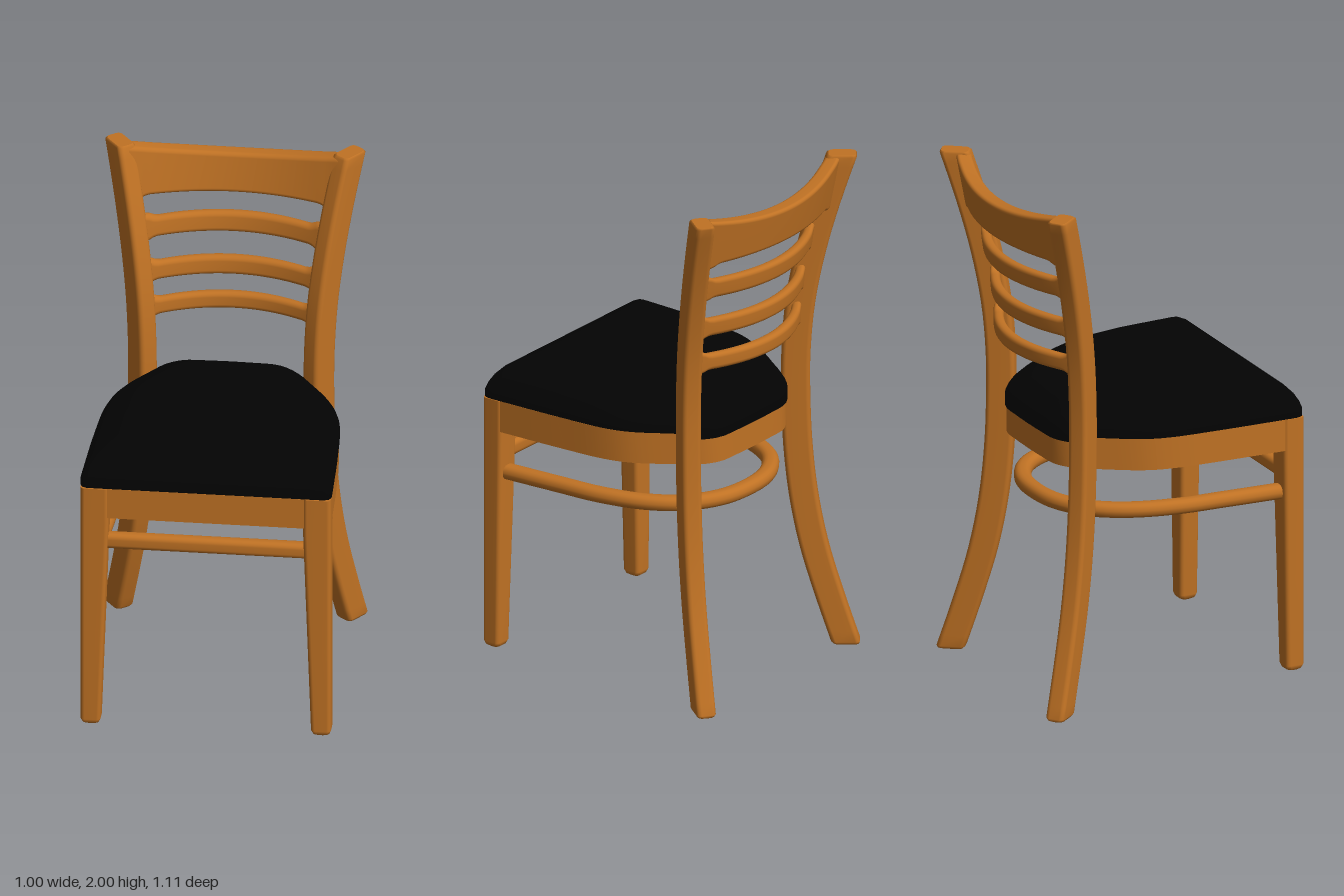
import * as THREE from 'three';
import { toCreasedNormals } from 'three/addons/utils/BufferGeometryUtils.js';

const V = (x, y, z) => new THREE.Vector3(x, y, z);
const { smoothstep } = THREE.MathUtils;

// Skin a list of equal-length rings and close both ends with flat caps
function loft(rings) {
  const n = rings[0].length, pos = [], idx = [];
  const put = (p) => pos.push(p.x, p.y, p.z) / 3 - 1;
  rings.forEach((r) => r.forEach(put));
  for (let i = 0; i < rings.length - 1; i++) {
    for (let j = 0; j < n; j++) {
      const a = i * n + j, b = i * n + (j + 1) % n;
      idx.push(a, b, b + n, a, b + n, a + n);
    }
  }
  [rings[0], rings[rings.length - 1]].forEach((r, end) => {
    const mid = r.reduce((s, p) => s.add(p), V(0, 0, 0)).divideScalar(n);
    const c = put(mid), first = c + 1;
    r.forEach(put);
    for (let j = 0; j < n; j++) {
      const a = first + j, b = first + (j + 1) % n;
      if (end) idx.push(c, a, b); else idx.push(c, b, a);
    }
  });
  const g = new THREE.BufferGeometry();
  g.setAttribute('position', new THREE.Float32BufferAttribute(pos, 3));
  g.setIndex(idx);
  g.computeVertexNormals();
  return g;
}

// Rounded rectangle ring around c; u cross v points along the loft
function roundRect(c, u, v, hu, hv, r) {
  const ring = [];
  [[1, 1], [-1, 1], [-1, -1], [1, -1]].forEach(([su, sv], q) => {
    for (let k = 0; k <= 4; k++) {
      const a = (q + k / 4) * Math.PI / 2;
      ring.push(c.clone()
        .addScaledVector(u, su * (hu - r) + r * Math.cos(a))
        .addScaledVector(v, sv * (hv - r) + r * Math.sin(a)));
    }
  });
  return ring;
}

// Seat plan: [x, z] points from front centre round the back to the start
function seatOutline() {
  const half = [];
  for (let i = 0; i < 8; i++) half.push([0.45 * i / 8, 0.55]);
  half.push([0.45, 0.55], [0.468, 0.542], [0.475, 0.525]);
  const side = new THREE.CatmullRomCurve3([
    V(0.475, 0, 0.5), V(0.463, 0, 0.2), V(0.447, 0, 0), V(0.418, 0, -0.1), V(0.325, 0, -0.25),
    V(0.27, 0, -0.325), V(0.2, 0, -0.368), V(0.1, 0, -0.376), V(0, 0, -0.378)]);
  side.getSpacedPoints(32).forEach((p) => half.push([p.x, p.z]));
  const mirrored = half.slice(1, -1).reverse().map(([x, z]) => [-x, z]);
  return half.concat(mirrored);
}

const CZ = 0.1;
const scaled = (pts, k) => pts.map(([x, z]) => [x * k, CZ + (z - CZ) * k]);

// Upright slab of a plan outline, optionally hollow
function slab(outer, hole, y, height) {
  const toV2 = (pts) => pts.map(([x, z]) => new THREE.Vector2(x, -z));
  const shape = new THREE.Shape(toV2(outer));
  if (hole) shape.holes.push(new THREE.Path(toV2(hole)));
  const g = new THREE.ExtrudeGeometry(shape, { depth: height, bevelEnabled: false });
  g.rotateX(-Math.PI / 2).translate(0, y, 0);
  return toCreasedNormals(g, 0.6);
}

export function createModel() {
  const chair = new THREE.Group();
  chair.name = 'chair';
  const wood = new THREE.MeshStandardMaterial({ color: 0xc07224 });
  wood.name = 'warm wood';
  const black = new THREE.MeshStandardMaterial({ color: 0x030303 });
  black.name = 'black upholstery';
  const add = (name, geo, mat = wood) => {
    const m = new THREE.Mesh(geo, mat);
    m.name = name;
    chair.add(m);
  };
  const X = V(1, 0, 0), Y = V(0, 1, 0), Z = V(0, 0, 1);

  // Curved back posts, each lying in a vertical plane turned outward
  const sweep = new THREE.SplineCurve([
    [0, -0.475], [0.2, -0.422], [0.4, -0.375], [0.6, -0.343], [0.8, -0.325], [1, -0.318],
    [1.2, -0.319], [1.4, -0.333], [1.6, -0.364], [1.8, -0.408], [2, -0.461],
  ].map(([y, z]) => new THREE.Vector2(y, z)));
  for (const m of [1, -1]) {
    const u = V(0.8, 0, 0.6 * m), v = V(0.6 * m, 0, -0.8);
    const rings = [];
    const ring = (t, inset) => {
      const p = sweep.getPoint(t);
      const hv = 0.055 + 0.003 * Math.max(0, (p.x - 1.2) / 0.8);
      const c = V(m * (0.335 + 0.71 * (-0.318 - p.y)), p.x, p.y);
      rings.push(roundRect(c, u, v, 0.038 - inset, hv - inset, 0.018));
    };
    ring(0, 0.016);
    ring(0.004, 0.006);
    for (let i = 0; i <= 40; i++) ring(0.012 + 0.982 * i / 40, 0);
    ring(1, 0.006);
    add(m > 0 ? 'leftBackPost' : 'rightBackPost', loft(rings));
  }

  // Tapered front legs with flush outer faces
  for (const m of [1, -1]) {
    const leg = [[0.035, 0.016], [0.042, 0.006], [0.058, 0], [0.4, 0], [0.9, 0], [1.05, 0]].map(([y, inset]) => {
      const t = Math.min(1, y / 0.9);
      const w = 0.074 + 0.032 * t, d = 0.074 + 0.012 * t;
      return roundRect(V(m * (0.475 - w / 2), y, 0.552 - d / 2), Z, X, d / 2 - inset, w / 2 - inset, 0.016);
    });
    add(m > 0 ? 'leftFrontLeg' : 'rightFrontLeg', loft(leg));
  }

  // Bowed top rail and back slats, leaning with the posts and flared where they meet them
  function slat(name, halfX, y0, y1, rise, zMid, zEnd, thick, lean, r, flareTop) {
    const rings = [];
    for (let i = 0; i <= 48; i++) {
      const s = i / 24 - 1, b = s * s;
      const flare = 0.016 * smoothstep(Math.abs(s), 0.8, 0.92);
      const bottom = y0 - flare, top = y1 + rise * b + flare * flareTop;
      const c = V(s * halfX, (bottom + top) / 2, zMid + (zEnd - zMid) * b);
      rings.push(roundRect(c, V(0, 1, -lean), Z, (top - bottom) / 2, thick / 2, r));
    }
    add(name, loft(rings));
  }
  slat('topRail', 0.4, 1.797, 1.95, 0.045, -0.508, -0.423, 0.066, 0.2, 0.016, 0);
  slat('upperSlat', 0.36, 1.635, 1.713, 0, -0.472, -0.362, 0.044, 0.15, 0.018, 1);
  slat('middleSlat', 0.35, 1.467, 1.54, 0, -0.442, -0.33, 0.044, 0.1, 0.018, 1);
  slat('lowerSlat', 0.34, 1.324, 1.39, 0, -0.434, -0.32, 0.044, 0.05, 0.018, 1);

  // Seat frame
  const plan = seatOutline();
  add('seatApron', slab(scaled(plan, 0.993), scaled(plan, 0.87), 0.925, 0.125));
  add('seatPanel', slab(scaled(plan, 0.9), null, 1.01, 0.035));

  // Domed cushion, lower toward the back, its hem dipping behind the posts
  const dome = [[0.98, 0], [1.002, 0.006], [1.003, 0.035], [0.985, 0.06], [0.95, 0.088], [0.885, 0.12],
    [0.78, 0.15], [0.68, 0.164], [0.57, 0.17], [0.4, 0.174], [0.2, 0.175], [0.03, 0.175]];
  add('cushion', loft(dome.map(([k, h]) => scaled(plan, k).map(([x, z]) => {
    const back = Math.max(0, (0.2 - z) / 0.6);
    const dip = h < 0.01 ? 0.025 * smoothstep(-z, 0.25, 0.33) : 0;
    return V(x, 1.047 + h * (1 - 0.18 * back) - dip, z);
  }))), black);

  // Front stretcher
  add('frontStretcher', loft([-0.39, 0.39].map((x) => roundRect(V(x, 0.815, 0.512), Y, Z, 0.031, 0.026, 0.02))));

  // Bent hoop stretcher running from the front legs round the back
  const bend = [[0.425, 0.5], [0.41, 0.25], [0.395, 0.05], [0.35, -0.12], [0.27, -0.245], [0.14, -0.325]];
  const path = bend.concat([[0, -0.345]], bend.slice().reverse().map(([x, z]) => [-x, z]));
  const hoop = new THREE.CatmullRomCurve3(path.map(([x, z]) => V(x, 0.75, z)));
  const hoopRings = [];
  for (let i = 0; i <= 72; i++) {
    const across = hoop.getTangentAt(i / 72).cross(Y);
    hoopRings.push(roundRect(hoop.getPointAt(i / 72), Y, across, 0.029, 0.033, 0.026));
  }
  add('hoopStretcher', loft(hoopRings));

  return chair;
}
